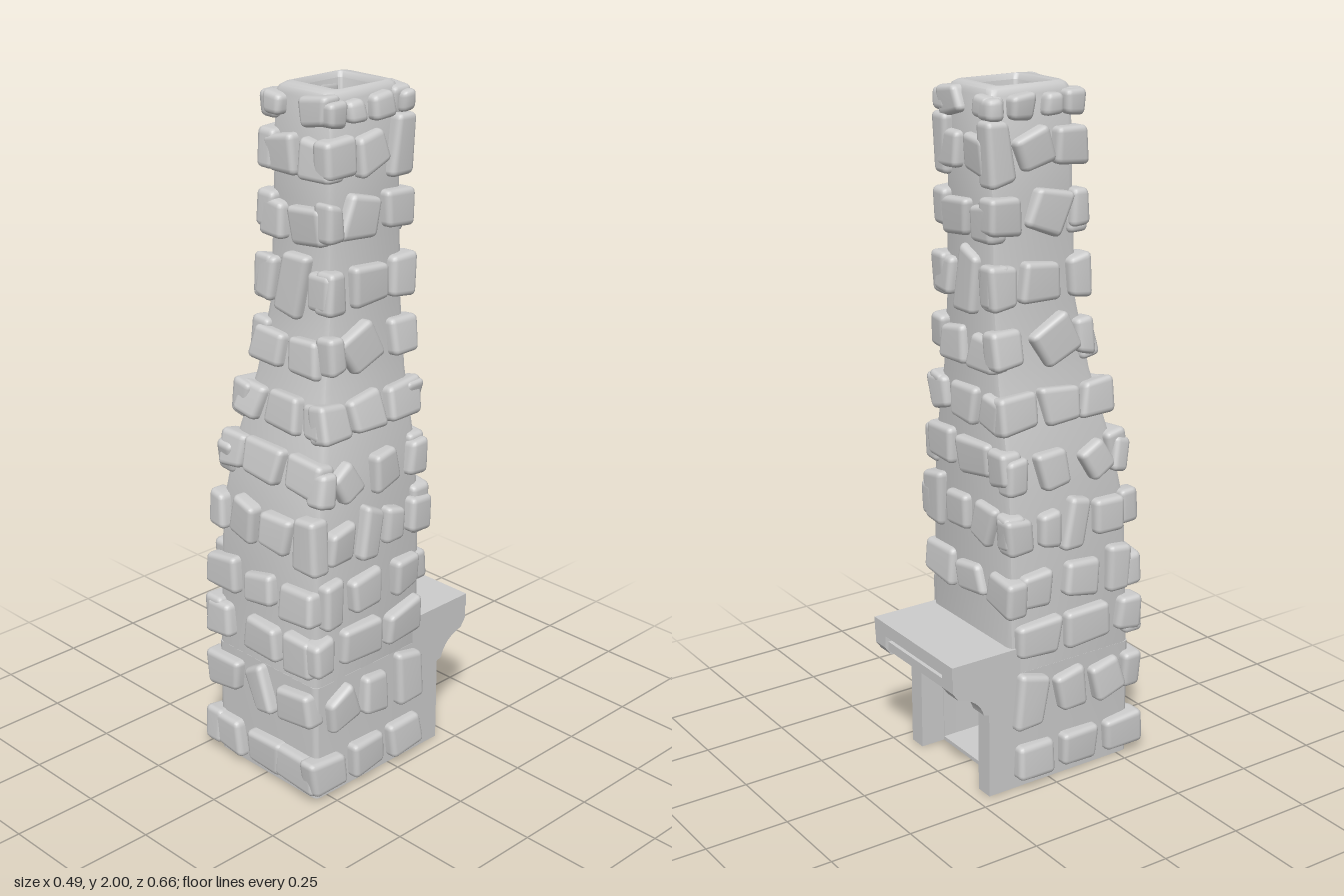
import * as THREE from 'three';
import { mergeVertices, toCreasedNormals } from 'three/addons/utils/BufferGeometryUtils.js';
import { RoundedBoxGeometry } from 'three/addons/geometries/RoundedBoxGeometry.js';

const material = new THREE.MeshStandardMaterial({ color: 0xcccccc });
const BACK = -0.13;

// Outline of the shaft: [height, half width, front z]
const PROFILE = [
  [0, 0.208, 0.292], [0.45, 0.206, 0.29], [0.8, 0.2, 0.275], [0.98, 0.185, 0.24],
  [1.2, 0.142, 0.188], [1.4, 0.123, 0.152], [1.7, 0.114, 0.144], [2, 0.108, 0.14],
];

function outlineAt(y) {
  let i = 0;
  while (i < PROFILE.length - 2 && PROFILE[i + 1][0] < y) i++;
  const [y0, w0, f0] = PROFILE[i], [y1, w1, f1] = PROFILE[i + 1];
  const t = (y - y0) / (y1 - y0);
  return {
    w: w0 + (w1 - w0) * t, f: f0 + (f1 - f0) * t,
    wSlope: (w1 - w0) / (y1 - y0), fSlope: (f1 - f0) / (y1 - y0),
  };
}

let seed = 7;
function rand(range) {
  seed = (seed * 16807) % 2147483647;
  return (seed / 2147483647 - 0.5) * 2 * range;
}

function add(group, name, geometry) {
  const mesh = new THREE.Mesh(geometry, material);
  mesh.name = name;
  group.add(mesh);
  return mesh;
}

// Skin over rounded rectangles: rings of [y, half width, front z, back z, corner radius]
function loft(rings) {
  const pos = [], index = [], n = 12;
  for (const [y, w, f, b, r] of rings) {
    for (let c = 0; c < 4; c++) {
      const sx = c === 0 || c === 3 ? 1 : -1, front = c > 1;
      for (let k = 0; k < 3; k++) {
        const a = (c + k / 2) * Math.PI / 2;
        pos.push(sx * (w - r) + r * Math.cos(a), y, (front ? f - r : b + r) - r * Math.sin(a));
      }
    }
  }
  for (let i = 0; i < rings.length - 1; i++) {
    for (let j = 0; j < n; j++) {
      const a = i * n + j, b = i * n + (j + 1) % n;
      index.push(a, b, b + n, a, b + n, a + n);
    }
  }
  const g = new THREE.BufferGeometry();
  g.setAttribute('position', new THREE.Float32BufferAttribute(pos, 3));
  g.setIndex(index);
  return toCreasedNormals(g, 0.7);
}

// Rounded stone with skewed corners
function stoneGeometry(w, h) {
  const d = 0.065;
  const box = new RoundedBoxGeometry(w, h, d, 2, 0.017);
  box.deleteAttribute('uv');
  box.deleteAttribute('normal');
  const g = mergeVertices(box, 1e-4);
  const p = g.attributes.position;
  const [kx, ky, tx, ty, dx, dy] = [0.12, 0.12, 0.1, 0.1, 0.12, 0.12].map(rand);
  for (let i = 0; i < p.count; i++) {
    const x = p.getX(i), y = p.getY(i), u = x / w * 2, v = y / h * 2;
    const bulge = p.getZ(i) > 0 ? 0.004 * (1 - u * u) + 0.005 * (dx * u + dy * v) / 0.12 : 0;
    p.setXYZ(i, x * (1 + kx * v) + tx * y, y * (1 + ky * u) + ty * x, p.getZ(i) + bulge);
  }
  g.computeVertexNormals();
  return g;
}

// Courses of stones: [height, ...[offset across the face, width, height, turn]]
const FRONT_ROWS = [
  [0.08, [-0.16, 0.14], [0.01, 0.14], [0.14, 0.16]],
  [0.28, [-0.165, 0.14], [-0.01, 0.08, 0.14, 0.45], [0.135, 0.14]],
  [0.45, [-0.18, 0.1], [0, 0.14], [0.15, 0.11, 0.12]],
  [0.6, [-0.17, 0.13], [-0.015, 0.12, 0.09, 0.2], [0.14, 0.14]],
  [0.79, [-0.19, 0.07], [-0.085, 0.1, 0.12, -0.2], [0.045, 0.11], [0.17, 0.09, 0.16]],
  [0.97, [-0.16, 0.09], [-0.04, 0.15], [0.13, 0.13]],
  [1.12, [-0.125, 0.09, 0.1, -0.2], [0.01, 0.13], [0.135, 0.08, 0.1, 0.1]],
  [1.28, [-0.085, 0.12, 0.1, -0.1], [0.06, 0.11]],
  [1.47, [-0.11, 0.07, 0.12], [-0.01, 0.095, 0.18, -0.08], [0.1, 0.09]],
  [1.64, [-0.085, 0.09], [0.045, 0.13]],
  [1.82, [-0.055, 0.11], [0.075, 0.11]],
  [1.95, [-0.085, 0.07, 0.06], [0.07, 0.1, 0.08, 0.15]],
];
const SIDE_ROWS = [
  [0.08, [0.26, 0.13], [0.1, 0.13], [-0.055, 0.13]],
  [0.27, [0.2, 0.11, 0.11, 0.25], [0.07, 0.1, 0.12], [-0.07, 0.1, 0.16]],
  [0.46, [0.275, 0.08], [0.125, 0.15, 0.11], [-0.045, 0.14]],
  [0.61, [0.235, 0.075, 0.14], [0.105, 0.12], [-0.055, 0.1]],
  [0.78, [0.2, 0.1], [0.085, 0.075, 0.15, -0.2], [-0.005, 0.07], [-0.11, 0.09]],
  [0.95, [0.245, 0.06, 0.1, -0.2], [0.165, 0.09, 0.1, 0.5], [0.015, 0.1, 0.11, 0.2], [-0.11, 0.07]],
  [1.12, [0.185, 0.11], [0.06, 0.12], [-0.085, 0.13]],
  [1.3, [0.155, 0.06], [0.06, 0.13, 0.12, 0.4], [-0.105, 0.1]],
  [1.47, [0.145, 0.07, 0.12], [0.015, 0.13, 0.11, -0.1], [-0.11, 0.09, 0.12]],
  [1.66, [0.145, 0.06], [0.045, 0.12, 0.12, -0.3], [-0.1, 0.11]],
  [1.83, [0.12, 0.11], [0, 0.11, 0.1, 0.2], [-0.115, 0.08, 0.17]],
  [1.945, [0.13, 0.07, 0.07], [0.06, 0.06, 0.06], [-0.04, 0.08, 0.07], [-0.13, 0.05, 0.06]],
];

// Lays stones on one face; place(y) gives the yaw, position and lean of the face
function layStones(name, rows, place) {
  const face = new THREE.Group();
  face.name = name;
  for (const [rowY, ...stones] of rows) {
    for (const [u, w, h = 0.105, turn = 0] of stones) {
      const spot = place(u, rowY);
      if (!spot) continue;
      const mesh = add(face, 'stone', stoneGeometry(w, h));
      mesh.position.set(...spot.at);
      mesh.rotation.order = 'YXZ';
      mesh.rotation.set(Math.atan(spot.slope), spot.yaw, turn + rand(0.06));
    }
  }
  return face;
}

// Lower shaft in plan, notched at the back for the firebox
function lowerShaft() {
  const s = new THREE.Shape();
  const w = 0.207, f = -0.291, b = -BACK, n = 0.15, in0 = -0.1;
  s.moveTo(-w, f + 0.02);
  s.quadraticCurveTo(-w, f, -w + 0.02, f);
  s.lineTo(w - 0.02, f);
  s.quadraticCurveTo(w, f, w, f + 0.02);
  s.lineTo(w, b);
  s.lineTo(n, b);
  s.lineTo(n, in0 + 0.1);
  s.quadraticCurveTo(n, in0, n - 0.08, in0);
  s.lineTo(-n + 0.08, in0);
  s.quadraticCurveTo(-n, in0, -n, in0 + 0.1);
  s.lineTo(-n, b);
  s.lineTo(-w, b);
  s.closePath();
  const g = new THREE.ExtrudeGeometry(s, { depth: 0.36, bevelEnabled: false, curveSegments: 6 });
  g.rotateX(-Math.PI / 2);
  return toCreasedNormals(g, 0.7);
}

// Fireplace leg with its curved bracket, seen from the side
function legGeometry() {
  const s = new THREE.Shape();
  s.moveTo(0.1, 0);
  s.lineTo(0.207, 0);
  s.lineTo(0.207, 0.26);
  s.lineTo(0.225, 0.265);
  s.quadraticCurveTo(0.24, 0.32, 0.31, 0.335);
  s.lineTo(0.328, 0.36);
  s.lineTo(0.328, 0.42);
  s.lineTo(0.1, 0.42);
  s.closePath();
  const g = new THREE.ExtrudeGeometry(s, { depth: 0.055, bevelEnabled: false, curveSegments: 8 });
  g.rotateY(Math.PI / 2).translate(-0.0275, 0, 0);
  return toCreasedNormals(g, 0.6);
}

function box(group, name, w, y0, y1, z0, z1) {
  const g = new THREE.BoxGeometry(w, y1 - y0, z1 - z0);
  add(group, name, g).position.set(0, (y0 + y1) / 2, (z0 + z1) / 2);
}

export function createModel() {
  const model = new THREE.Group();
  model.name = 'stoneChimney';

  // Shaft: underside, walls, rounded rim and hollow flue
  const walls = [0.36, 0.6, 0.8, 0.9, 0.98, 1.09, 1.2, 1.3, 1.4, 1.7, 1.975].map((y) => {
    const { w, f } = outlineAt(y);
    return [y, w, f, BACK, 0.022];
  });
  add(model, 'shaft', loft([
    [0.36, 0, 0, 0, 0], ...walls,
    [1.993, 0.1, 0.132, -0.122, 0.022], [2, 0.09, 0.12, -0.11, 0.02],
    [2, 0.086, 0.09, -0.09, 0.012], [1.985, 0.076, 0.081, -0.081, 0.01],
    [1.55, 0.068, 0.077, -0.077, 0.01], [1.55, 0, 0, 0, 0],
  ]));
  add(model, 'lowerShaft', lowerShaft());

  // Stones on the four faces
  const out = -0.003;
  model.add(layStones('frontStones', FRONT_ROWS, (u, y) => {
    const o = outlineAt(y);
    return { at: [u, y, o.f + out], slope: o.fSlope, yaw: 0 };
  }));
  model.add(layStones('backStones', FRONT_ROWS, (u, y) =>
    y > 0.5 && { at: [u, y, BACK + 0.01], slope: 0, yaw: Math.PI }));
  for (const side of [-1, 1]) {
    model.add(layStones(side < 0 ? 'rightStones' : 'leftStones', SIDE_ROWS, (u, y) => {
      const o = outlineAt(y);
      return { at: [side * (o.w + out), y, u], slope: o.wSlope, yaw: side * Math.PI / 2 };
    }));
  }

  // Fireplace at the back
  const fireplace = new THREE.Group();
  fireplace.name = 'fireplace';
  for (const side of [-1, 1]) {
    add(fireplace, 'leg', legGeometry()).position.x = side * 0.18;
  }
  box(fireplace, 'mantel', 0.416, 0.4, 0.44, -0.33, -0.1);
  box(fireplace, 'frieze', 0.32, 0.375, 0.402, -0.3, -0.1);
  box(fireplace, 'lintel', 0.32, 0.35, 0.378, -0.318, -0.12);
  box(fireplace, 'hearth', 0.31, 0, 0.012, -0.13, 0.11);
  model.add(fireplace);

  return model;
}
